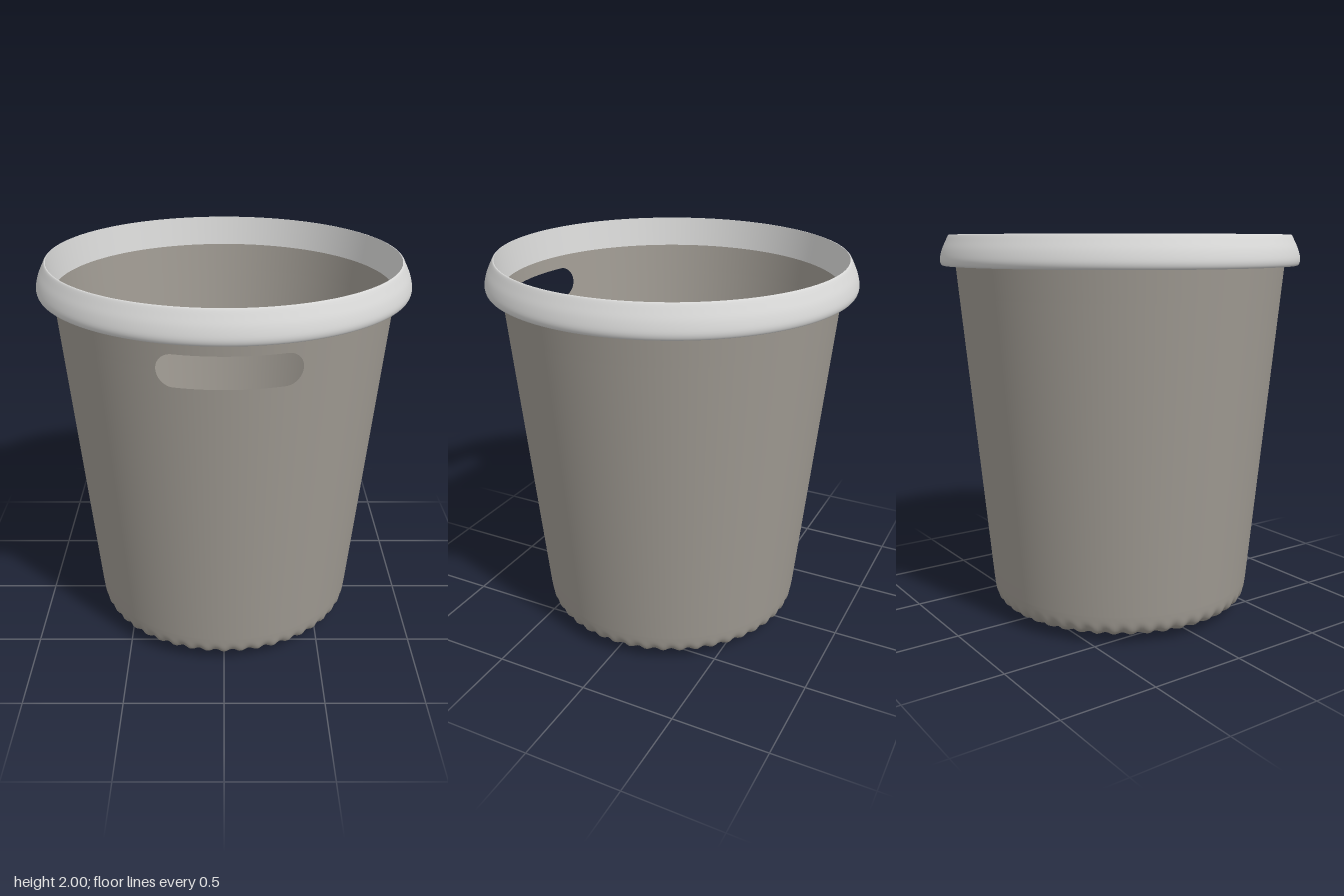
import * as THREE from 'three';

const WALL_TOP = 1.845, WALL_BOTTOM = 0.16;
const SLOT = { x: 0.025, y: 1.695, halfWidth: 0.325, halfHeight: 0.08, corner: 0.075 };
const FLUTES = 48;

// radius of the tapered wall at a height
const wallRadius = y => 0.702 + (0.857 - 0.702) * (y - WALL_BOTTOM) / (WALL_TOP - WALL_BOTTOM);

// half height of the grip slot at an offset from its middle
function slotHalfHeight(dx) {
  const over = Math.abs(dx) - (SLOT.halfWidth - SLOT.corner);
  if (over <= 0) return SLOT.halfHeight;
  return SLOT.halfHeight * Math.sqrt(Math.max(0, 1 - (over / SLOT.corner) ** 2));
}

// columns around the wall: dense across the slot, even elsewhere
function makeColumns() {
  const columns = [], r = wallRadius(SLOT.y), n = 64, m = 264;
  for (let i = 0; i <= n; i++) {
    const dx = -SLOT.halfWidth * Math.cos(Math.PI * i / n);
    columns.push({ angle: Math.asin((SLOT.x + dx) / r), gap: slotHalfHeight(dx) });
  }
  const start = columns[n].angle, span = Math.PI * 2 - (start - columns[0].angle);
  for (let i = 1; i < m; i++) columns.push({ angle: start + span * i / m, gap: 0 });
  return columns;
}

// closed surface of revolution; point(column, row) gives [radius, height]
function ringSurface(columns, rows, point) {
  const positions = [], index = [], n = columns.length;
  for (let i = 0; i < rows; i++) {
    for (const column of columns) {
      const [r, y] = point(column, i);
      positions.push(r * Math.sin(column.angle), y, r * Math.cos(column.angle));
    }
  }
  for (let i = 0; i < rows - 1; i++) {
    for (let j = 0; j < n; j++) {
      const a = i * n + j, b = i * n + (j + 1) % n;
      index.push(a, b, a + n, b, b + n, a + n);
    }
  }
  const geometry = new THREE.BufferGeometry();
  geometry.setAttribute('position', new THREE.Float32BufferAttribute(positions, 3));
  geometry.setIndex(index);
  geometry.computeVertexNormals();
  return geometry;
}

const spline = (points, n) =>
  new THREE.SplineCurve(points.map(p => new THREE.Vector2(...p))).getPoints(n);

export function createModel() {
  const group = new THREE.Group();
  const bodyMaterial = new THREE.MeshStandardMaterial({ color: 0xa09b93, side: THREE.DoubleSide });
  bodyMaterial.name = 'warm grey plastic';
  const rimMaterial = new THREE.MeshStandardMaterial({ color: 0xd8d8d7, side: THREE.DoubleSide });
  rimMaterial.name = 'light grey plastic';

  const add = (name, geometry, material) => {
    const mesh = new THREE.Mesh(geometry, material);
    mesh.name = name;
    group.add(mesh);
  };

  const columns = makeColumns();

  // floor, fluted bottom corner and wall up to the slot's lower edge
  const base = spline([[0, 0.004], [0.3, 0.01], [0.5, 0.02], [0.6, 0.035], [0.665, 0.062],
    [0.692, 0.1], [0.702, WALL_BOTTOM]], 32);
  const wallRows = 10;
  add('body', ringSurface(columns, base.length + wallRows, (column, i) => {
    if (i < base.length) {
      const { x: r, y } = base[i];
      const strength = THREE.MathUtils.smoothstep(r, 0.3, 0.62)
        * (1 - THREE.MathUtils.smoothstep(y, 0.06, 0.13));
      const ripple = 0.006 * strength * Math.cos(FLUTES * column.angle);
      return [r + ripple, Math.max(0, y - ripple * 0.6)];
    }
    const t = (i - base.length + 1) / wallRows;
    const y = THREE.MathUtils.lerp(WALL_BOTTOM, SLOT.y - column.gap, t);
    return [wallRadius(y), y];
  }), bodyMaterial);

  // wall above the slot
  add('upperWall', ringSurface(columns, 4, (column, i) => {
    const y = THREE.MathUtils.lerp(SLOT.y + column.gap, WALL_TOP, i / 3);
    return [wallRadius(y), y];
  }), bodyMaterial);

  // inner band of the rim
  const inner = [[0.857, WALL_TOP], [0.882, 2]].map(p => new THREE.Vector2(...p));
  add('rimInside', new THREE.LatheGeometry(inner, 128), rimMaterial);

  // rolled lip, open underneath
  const lip = spline([[0.902, 1.85], [0.916, 1.845], [0.93, 1.853], [0.935, 1.88],
    [0.924, 1.925], [0.906, 1.965], [0.89, 1.996], [0.882, 2]], 28);
  add('rimLip', new THREE.LatheGeometry(lip, 128), rimMaterial);

  return group;
}
